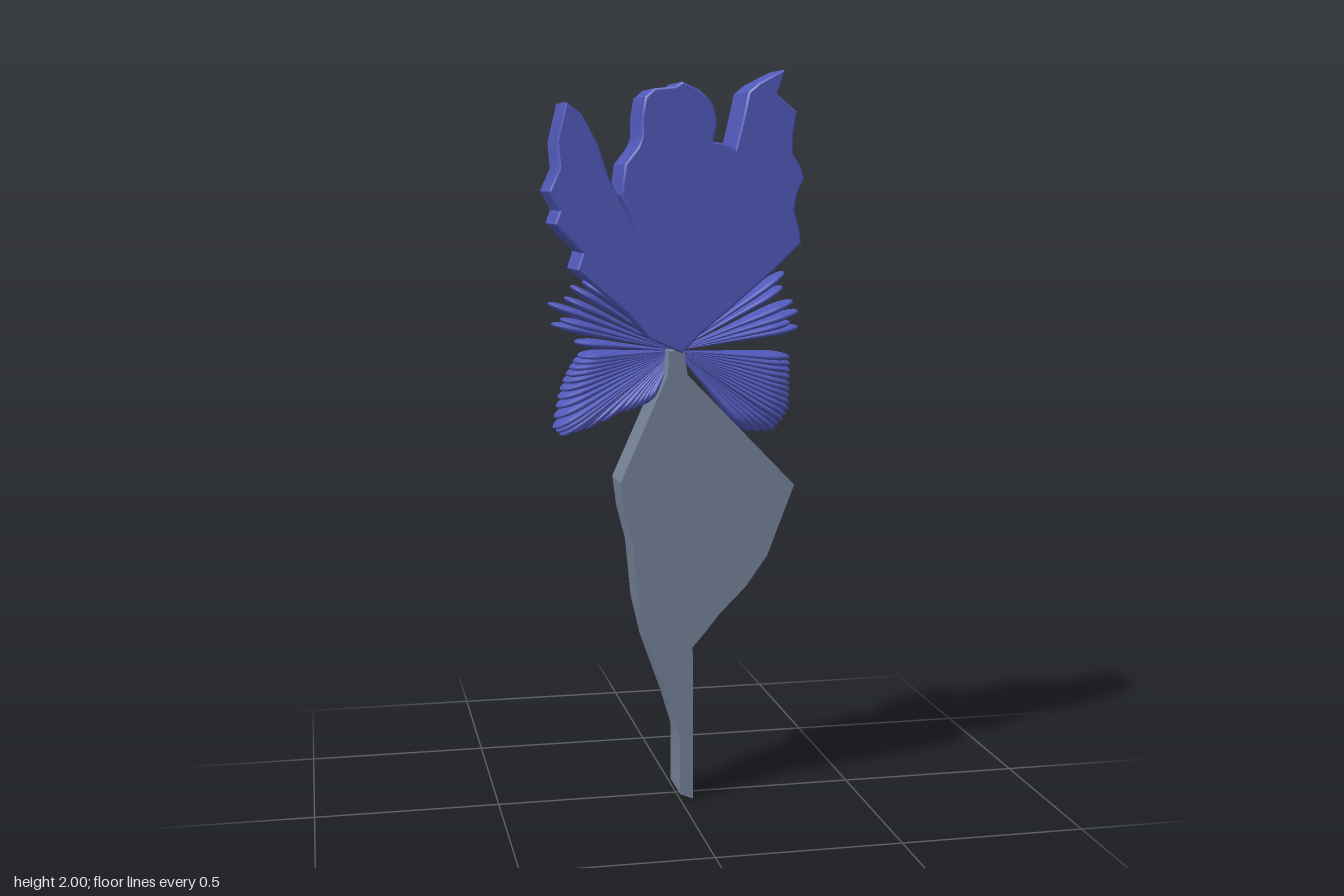
import * as THREE from 'three';
import { toCreasedNormals } from 'three/addons/utils/BufferGeometryUtils.js';

const blue = new THREE.MeshStandardMaterial({ color: 0x5058b8 });
const grey = new THREE.MeshStandardMaterial({ color: 0x748096 });

// Flat outline given a thickness, centred on z = 0
function slab(name, points, depth, bevel, material) {
  const shape = new THREE.Shape(points.map(([x, y]) => new THREE.Vector2(x, y)));
  const geometry = new THREE.ExtrudeGeometry(shape, {
    depth: depth - 2 * bevel,
    bevelEnabled: bevel > 0,
    bevelThickness: bevel,
    bevelSize: bevel,
    bevelOffset: -bevel,
    bevelSegments: 1,
  });
  geometry.translate(0, 0, bevel - depth / 2);
  const mesh = new THREE.Mesh(toCreasedNormals(geometry, 0.5), material);
  mesh.name = name;
  return mesh;
}

const headOutline = [
  [0, 1.25], [0.05, 1.3], [0.125, 1.36], [0.25, 1.465], [0.33, 1.54], [0.325, 1.58],
  [0.31, 1.63], [0.317, 1.67], [0.337, 1.715], [0.325, 1.75], [0.305, 1.78], [0.305, 1.83],
  [0.315, 1.89], [0.26, 1.935], [0.28, 2.0], [0.21, 1.965], [0.18, 1.94], [0.165, 1.87],
  [0.145, 1.79], [0.12, 1.805], [0.085, 1.81], [0.095, 1.86], [0.09, 1.89], [0.075, 1.92],
  [0.045, 1.945], [0, 1.965], [-0.02, 1.952], [-0.075, 1.947], [-0.1, 1.925], [-0.11, 1.87],
  [-0.11, 1.82], [-0.12, 1.795], [-0.155, 1.75], [-0.165, 1.67], [-0.145, 1.63], [-0.11, 1.54],
  [-0.2, 1.72], [-0.225, 1.8], [-0.27, 1.88], [-0.31, 1.91], [-0.335, 1.81], [-0.33, 1.74],
  [-0.357, 1.68], [-0.33, 1.63], [-0.343, 1.595], [-0.27, 1.52], [-0.285, 1.475],
  [-0.21, 1.41], [-0.15, 1.36], [-0.09, 1.29],
];

const stemOutline = [
  [-0.03, 1.255], [0.01, 1.255], [0.02, 1.19], [0.32, 0.88], [0.245, 0.685], [0.185, 0.6],
  [0.11, 0.525], [0.07, 0.475], [0.035, 0.435], [0.037, 0], [0, 0.015], [0, 0.18],
  [-0.03, 0.28], [-0.09, 0.45], [-0.115, 0.56], [-0.13, 0.72], [-0.155, 0.82],
  [-0.165, 0.9], [-0.035, 1.19],
];

// Teardrop lobe of unit length along y, widest near its outer end
const lobe = new THREE.LatheGeometry(
  new THREE.SplineCurve([
    [0, 0], [0.25, 0.2], [0.6, 0.5], [0.95, 0.76], [0.9, 0.88], [0.55, 0.97], [0, 1],
  ].map(([r, y]) => new THREE.Vector2(r, y))).getPoints(20),
  20,
);

function petal(side, degrees, length, halfDepth, halfThickness) {
  const mesh = new THREE.Mesh(lobe, blue);
  mesh.name = 'petal';
  mesh.scale.set(halfThickness, length, halfDepth);
  mesh.position.set(0, 1.25, -0.005);
  mesh.rotation.z = side * THREE.MathUtils.degToRad(degrees - 90);
  return mesh;
}

// Overlapping lobes from the flower's base; pairs are [angle, length]
function petalFan(name, side, spikes, envelope) {
  const fan = new THREE.Group();
  fan.name = name;
  spikes.forEach(([a, l]) => fan.add(petal(side, a, l, 0.055, 0.013)));
  for (let i = 0; i < envelope.length - 1; i++) {
    const [a0, l0] = envelope[i];
    const [a1, l1] = envelope[i + 1];
    const steps = Math.max(2, Math.round(Math.abs(a1 - a0) / 3));
    for (let k = 0; k < steps; k++) {
      const t = k / steps;
      const a = a0 + (a1 - a0) * t;
      fan.add(petal(side, a, l0 + (l1 - l0) * t, a < -36 ? 0.05 : 0.07, 0.014));
    }
  }
  return fan;
}

export function createModel() {
  const model = new THREE.Group();
  model.name = 'flower';

  // Flower head, turned a little about the upright axis
  const head = slab('flowerHead', headOutline, 0.157, 0.005, blue);
  head.rotation.y = 0.033;
  model.add(head);

  // Stem with its broad leaf
  const stem = slab('stem', stemOutline, 0.133, 0, grey);
  stem.position.z = -0.004;
  model.add(stem);

  // Drooping petals on both sides
  model.add(petalFan('leftPetals', 1,
    [[10, 0.35], [13, 0.33], [17, 0.36], [22, 0.355], [30, 0.345], [35, 0.37]],
    [[-4, 0.32], [-17, 0.335], [-28, 0.36], [-39, 0.36], [-47, 0.31], [-50, 0.28]]));
  model.add(petalFan('rightPetals', -1,
    [[6, 0.28], [13, 0.35], [16, 0.33], [21, 0.375], [26, 0.34], [32, 0.34], [37, 0.32]],
    [[-2, 0.27], [-14, 0.32], [-24, 0.36], [-31, 0.395], [-35, 0.39], [-39, 0.33],
      [-45, 0.235], [-57, 0.17], [-60, 0.15]]));

  return model;
}
